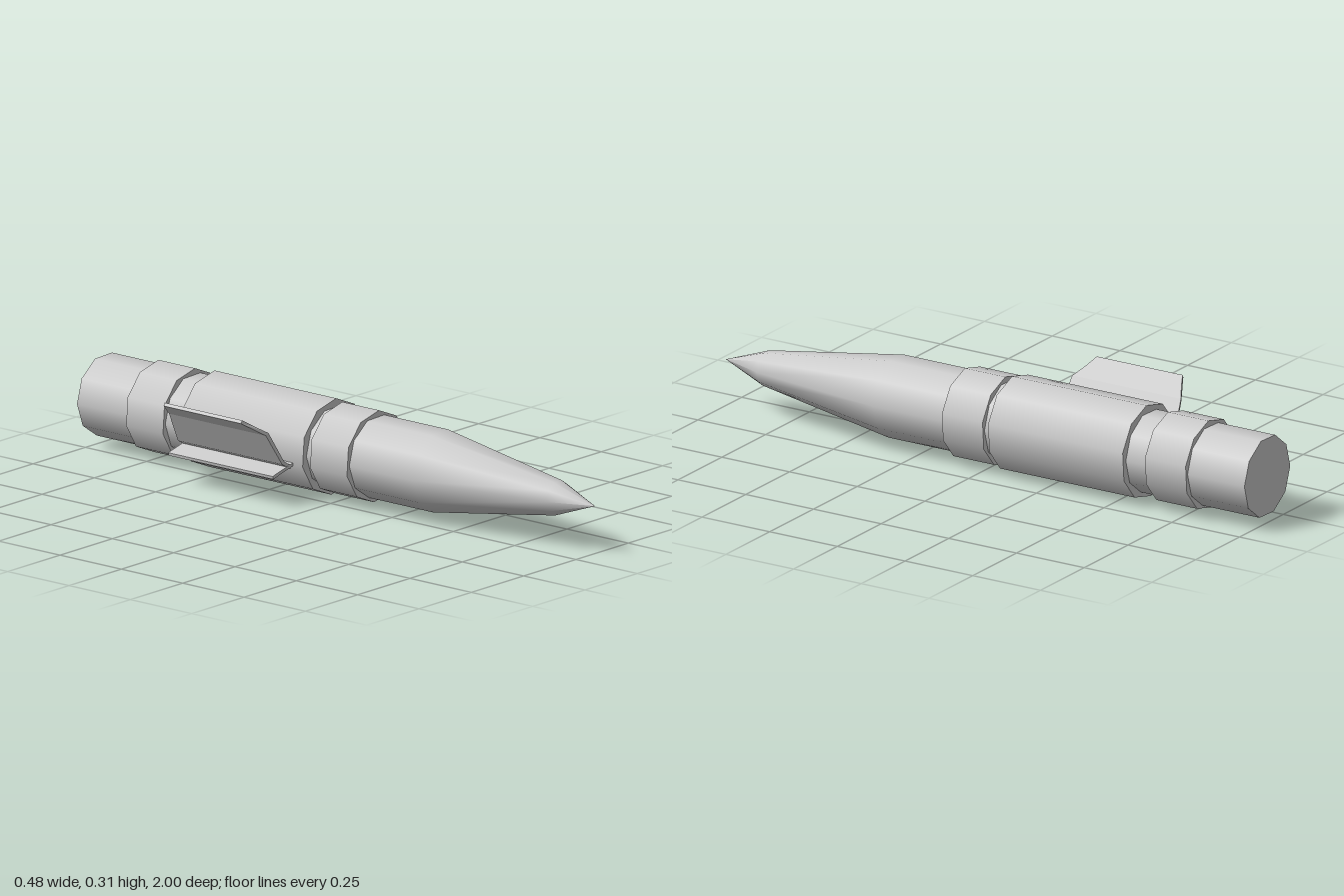
import * as THREE from 'three';

const grey = new THREE.MeshStandardMaterial({ color: 0xcccccc });
const SIDES = 10;
const AXIS = { x: 0.091, y: 0.155 };
const deg = THREE.MathUtils.degToRad;

function addPart(group, name, geometry) {
  const mesh = new THREE.Mesh(geometry, grey);
  mesh.name = name;
  group.add(mesh);
  return mesh;
}

// Collar around the body between two z positions
function collar(radius, zFront, zBack) {
  return new THREE.CylinderGeometry(radius, radius, zFront - zBack, SIDES)
    .rotateX(Math.PI / 2)
    .rotateZ(deg(-4.5))
    .translate(0, 0, (zFront + zBack) / 2);
}

// Bent plate: a mitred strip along path points [x, y, half length in z]
function bentPlate(path, thickness, zMid) {
  const pts = path.map(([x, y]) => new THREE.Vector2(x, y));
  const sides = [[], []];
  pts.forEach((p, i) => {
    const before = p.clone().sub(pts[Math.max(i - 1, 0)]).normalize();
    const after = pts[Math.min(i + 1, pts.length - 1)].clone().sub(p).normalize();
    const dir = before.clone().add(after).normalize();
    const ref = i ? before : after;
    const offset = new THREE.Vector2(-dir.y, dir.x).multiplyScalar(thickness / 2 / dir.dot(ref));
    sides[0].push(p.clone().add(offset));
    sides[1].unshift(p.clone().sub(offset));
  });
  const geo = new THREE.ExtrudeGeometry(new THREE.Shape([...sides[0], ...sides[1]]), {
    depth: 2, bevelEnabled: false,
  });
  // Taper the length according to x
  const pos = geo.attributes.position;
  for (let i = 0; i < pos.count; i++) {
    const x = pos.getX(i);
    let k = 0;
    while (k < path.length - 2 && x > path[k + 1][0]) k++;
    const [x0, , h0] = path[k], [x1, , h1] = path[k + 1];
    const t = THREE.MathUtils.clamp((x - x0) / (x1 - x0), 0, 1);
    pos.setZ(i, zMid + (pos.getZ(i) - 1) * (h0 + (h1 - h0) * t));
  }
  geo.computeVertexNormals();
  return geo;
}

export function createModel() {
  const model = new THREE.Group();
  model.name = 'missile';

  // Straight tube with a long ogive and a short pointed tip
  const tube = new THREE.Group();
  tube.name = 'tube';
  tube.position.set(AXIS.x, AXIS.y, 0);
  model.add(tube);

  const profile = [[0.131, -1], [0.131, 0.37], [0.056, 0.85], [0, 1]]
    .map(([r, z]) => new THREE.Vector2(r, z));
  addPart(tube, 'bodyAndNose',
    new THREE.LatheGeometry(profile, SIDES).rotateX(Math.PI / 2).rotateZ(deg(-16)));
  addPart(tube, 'rearCap',
    new THREE.CircleGeometry(0.131, SIDES).rotateY(Math.PI).rotateZ(deg(2)).translate(0, 0, -1));

  // Collars
  addPart(tube, 'frontCollar', collar(0.146, 0.11, -0.04));
  addPart(tube, 'mainSleeve', collar(0.153, -0.065, -0.562));
  addPart(tube, 'rearCollar', collar(0.146, -0.64, -0.79));

  // Side bracket: a flared upper plate and a flat lower plate
  addPart(model, 'upperPlate', bentPlate([
    [-0.238, 0.286, 0.157], [-0.202, 0.262, 0.175], [-0.164, 0.238, 0.2],
    [-0.104, 0.136, 0.213], [-0.067, 0.114, 0.213],
  ], 0.011, -0.318));
  addPart(model, 'lowerPlate', bentPlate([
    [-0.153, 0.098, 0.213], [-0.05, 0.123, 0.213],
  ], 0.01, -0.318));

  return model;
}
